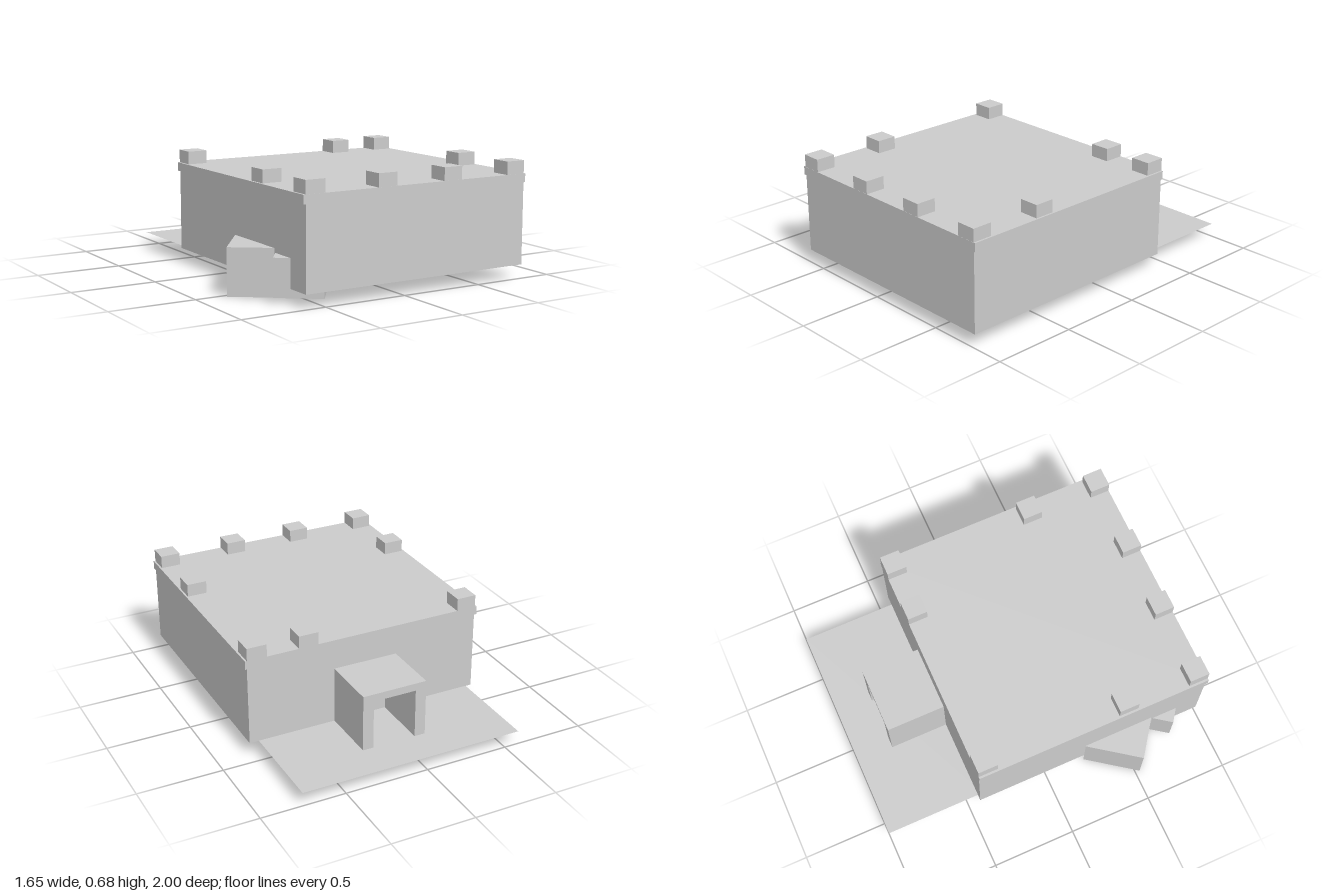
import * as THREE from 'three';

const material = new THREE.MeshStandardMaterial({ color: 0xcccccc, flatShading: true });

// Box given by its min and max on each axis
function box(name, [x0, x1], [y0, y1], [z0, z1]) {
  const mesh = new THREE.Mesh(new THREE.BoxGeometry(x1 - x0, y1 - y0, z1 - z0), material);
  mesh.position.set((x0 + x1) / 2, (y0 + y1) / 2, (z0 + z1) / 2);
  mesh.name = name;
  return mesh;
}

export function createModel() {
  const model = new THREE.Group();
  model.name = 'fort';
  const base = 0.08, roof = 0.6;

  // Main hall and the roof slab that overhangs its sides
  model.add(box('hall', [-0.62, 0.81], [base, roof - 0.002], [-0.43, 0.998]));
  model.add(box('roofSlab', [-0.635, 0.82], [0.55, roof], [-0.432, 1]));

  // Battlement blocks around the roof edge: [x, z] centres
  const battlements = new THREE.Group();
  battlements.name = 'battlements';
  const spots = [
    [-0.563, 0.94], [-0.115, 0.94], [0.315, 0.94], [0.75, 0.94],
    [-0.563, 0.5], [0.75, 0.5],
    [-0.563, -0.373], [0.44, -0.373], [0.75, -0.373],
  ];
  for (const [x, z] of spots) {
    battlements.add(box('merlon', [x - 0.059, x + 0.059], [roof, 0.675], [z - 0.059, z + 0.059]));
  }
  model.add(battlements);

  // Entrance tunnel: an arch outline extruded back from the hall
  const arch = new THREE.Shape([
    [-0.195, 0], [-0.13, 0], [-0.13, 0.295], [0.13, 0.295],
    [0.13, 0], [0.195, 0], [0.195, 0.34], [-0.195, 0.34],
  ].map(([x, y]) => new THREE.Vector2(x, y)));
  const porch = new THREE.Mesh(
    new THREE.ExtrudeGeometry(arch, { depth: 0.35, bevelEnabled: false }), material);
  porch.position.set(0.09, base, -0.78);
  porch.name = 'entranceTunnel';
  model.add(porch);

  // Thin yard in front of the entrance
  const yardMaterial = material.clone();
  yardMaterial.side = THREE.DoubleSide;
  const yard = new THREE.Mesh(new THREE.PlaneGeometry(1.34, 0.6), yardMaterial);
  yard.rotation.x = -Math.PI / 2;
  yard.position.set(0.085, base + 0.001, -0.7);
  yard.name = 'yard';
  model.add(yard);

  // Turned blocks half buried in the hall: x, z, bottom, top, size
  const blocks = new THREE.Group();
  blocks.name = 'blocks';
  for (const [x, z, y0, y1, size] of [
    [-0.585, 0.49, 0, 0.27, 0.345],
    [-0.505, 0.76, 0.03, 0.245, 0.27],
    [-0.37, 0.47, 0.065, 0.2, 0.2],
    [-0.32, 0.8, 0.07, 0.2, 0.18],
    [0.115, 0.9, 0.075, 0.2, 0.135],
  ]) {
    const block = box('block', [x - size / 2, x + size / 2], [y0, y1], [z - size / 2, z + size / 2]);
    block.rotation.y = -0.63;
    blocks.add(block);
  }
  model.add(blocks);

  return model;
}
